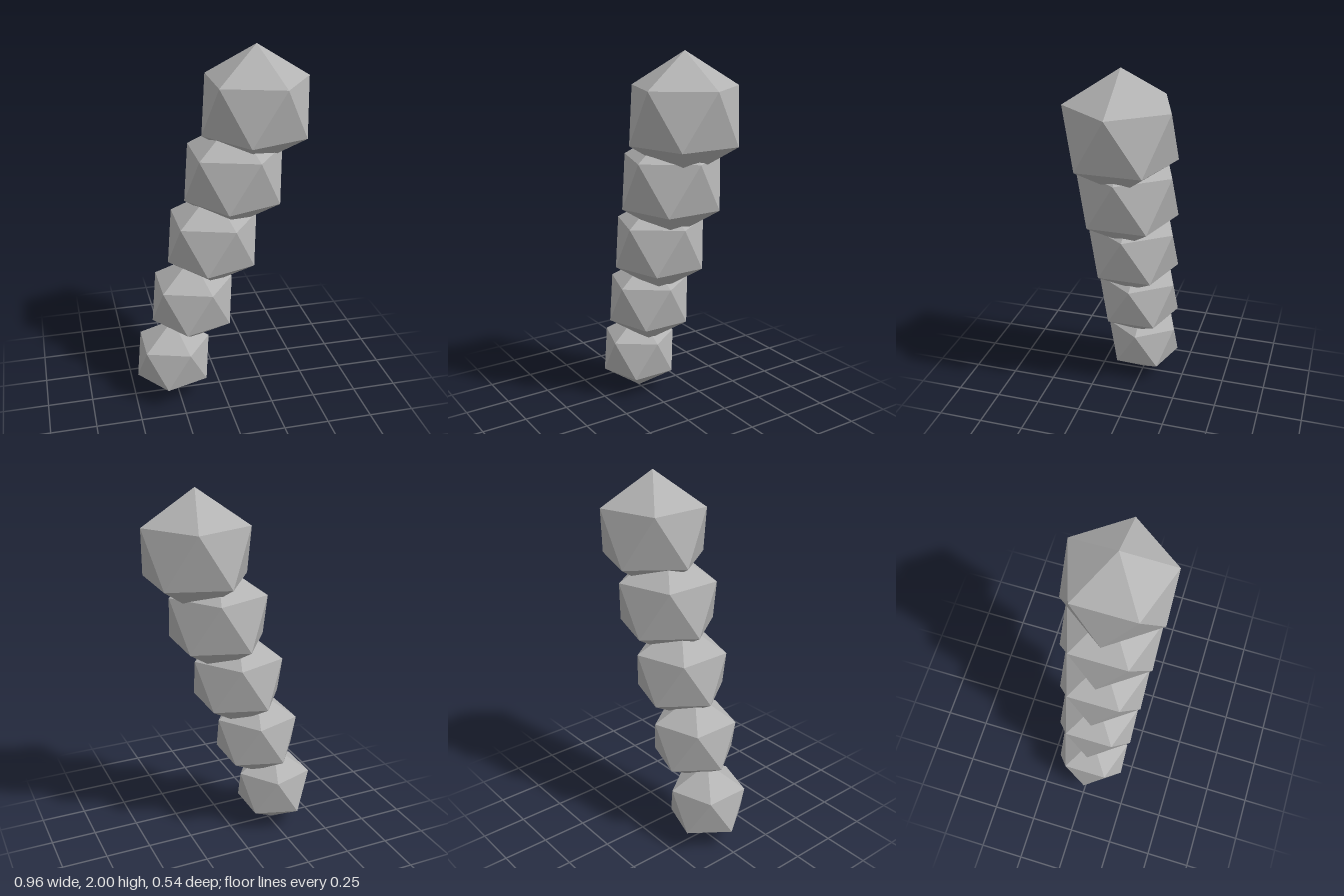
import * as THREE from 'three';

export function createModel() {
  const group = new THREE.Group();
  group.name = 'leaningStack';

  const grey = new THREE.MeshStandardMaterial({ color: 0xb3b3b3, flatShading: true });
  grey.name = 'grey';

  // Unit icosahedron turned so that one vertex points straight up
  // and the upper ring has a vertex towards +x
  const golden = (1 + Math.sqrt(5)) / 2;
  const gem = new THREE.IcosahedronGeometry(1, 0);
  gem.rotateZ(-Math.atan(1 / golden));
  gem.computeVertexNormals();

  // Five segments growing evenly from the base to the leaning top
  const count = 5;
  for (let i = 0; i < count; i++) {
    const t = i / (count - 1);
    const segment = new THREE.Mesh(gem, grey);
    segment.name = `segment${i + 1}`;
    segment.scale.setScalar(THREE.MathUtils.lerp(0.2327, 0.32, t));
    segment.position.set(
      THREE.MathUtils.lerp(-0.273, 0.19, t),
      THREE.MathUtils.lerp(0.2327, 1.68, t),
      0
    );
    group.add(segment);
  }
  return group;
}
